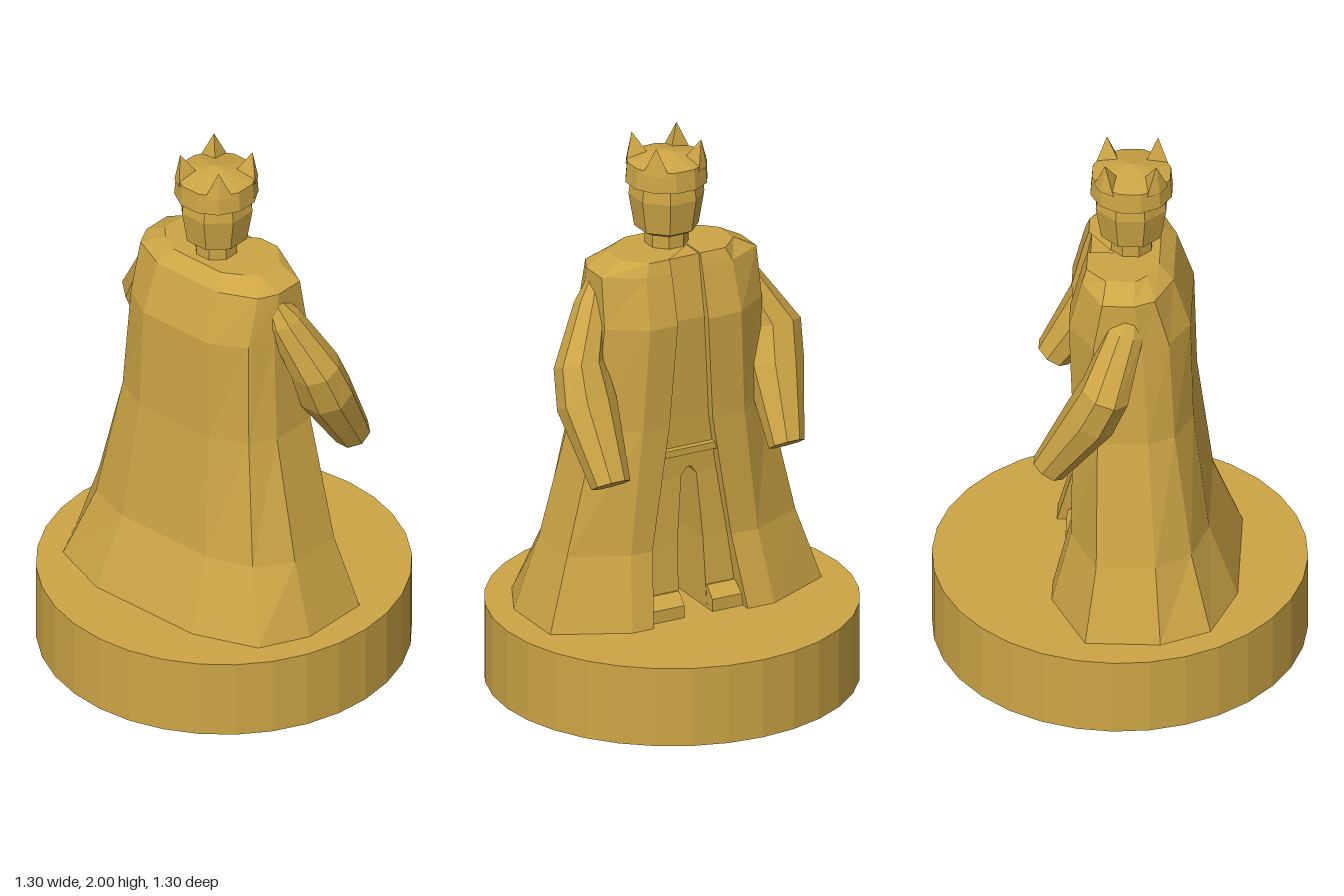
import * as THREE from 'three';

const gold = new THREE.MeshStandardMaterial({ color: 0xcda545 });
gold.name = 'gold';
gold.side = THREE.DoubleSide;

// Give every face its own normal for a faceted look
function facet(geometry) {
  const g = geometry.index ? geometry.toNonIndexed() : geometry;
  g.computeVertexNormals();
  return g;
}

// Skin a list of equal-length rings, bottom to top, running +x, -z, -x, +z
function loft(rings, { closed = true, bottom = true, top = true } = {}) {
  const n = rings[0].length, pos = [], tri = (...p) => p.forEach(v => pos.push(...v));
  for (let i = 0; i < rings.length - 1; i++) {
    for (let j = 0; j < (closed ? n : n - 1); j++) {
      const k = (j + 1) % n, a = rings[i], b = rings[i + 1];
      tri(a[j], a[k], b[k]);
      tri(a[j], b[k], b[j]);
    }
  }
  const lo = rings[0], hi = rings[rings.length - 1];
  for (let j = 1; j < n - 1; j++) {
    if (bottom) tri(lo[0], lo[j + 1], lo[j]);
    if (top) tri(hi[0], hi[j], hi[j + 1]);
  }
  const g = new THREE.BufferGeometry();
  g.setAttribute('position', new THREE.Float32BufferAttribute(pos, 3));
  return facet(g);
}

const rect = (y, x0, x1, z0, z1) => [[x1, y, z1], [x1, y, z0], [x0, y, z0], [x0, y, z1]];

function lathe(profile, sides) {
  const pts = profile.map(([r, y]) => new THREE.Vector2(r, y));
  return facet(new THREE.LatheGeometry(pts, sides, Math.PI / sides));
}

// Robe half sections from lapel edge round to the back: y, then [x, z]
const robeSections = [
  [0.29, [0.225, 0.185], [0.225, 0.28], [0.10, 0.535], [-0.16, 0.535], [-0.33, 0.45], [-0.415, 0.22]],
  [0.55, [0.16, 0.155], [0.16, 0.25], [0.065, 0.45], [-0.14, 0.45], [-0.26, 0.36], [-0.315, 0.19]],
  [1.00, [0.155, 0.085], [0.155, 0.2], [0.065, 0.34], [-0.11, 0.34], [-0.2, 0.29], [-0.26, 0.16]],
  [1.38, [0.17, 0.06], [0.17, 0.18], [0.08, 0.31], [-0.09, 0.31], [-0.18, 0.27], [-0.25, 0.15]],
  [1.56, [0.125, 0.06], [0.125, 0.17], [0.05, 0.305], [-0.06, 0.305], [-0.13, 0.27], [-0.19, 0.14]],
  [1.605, [0.11, 0.06], [0.11, 0.15], [0.04, 0.22], [-0.06, 0.22], [-0.1, 0.18], [-0.14, 0.11]],
];

function robeGeometry() {
  const rings = robeSections.map(([y, ...half]) => {
    const [ex, ez] = half[0];
    const pts = [[ex - 0.09, ez], ...half]; // lapel edge folds inward
    const side = s => pts.map(([x, z], i) => [x, y, s * z + (i < 2 ? 0.01 : 0)]);
    return [...side(-1), ...side(1).reverse()];
  });
  return loft(rings, { closed: false, bottom: false });
}

// Tapered eight-sided arm; stations run hand to shoulder as [x, y, z, rx, rz]
function armGeometry(stations, s) {
  const rings = stations.map(([x, y, z, rx, rz], i) => {
    const a = stations[Math.max(i - 1, 0)], b = stations[Math.min(i + 1, stations.length - 1)];
    const t = new THREE.Vector2(b[0] - a[0], b[1] - a[1]).normalize();
    return Array.from({ length: 8 }, (_, k) => {
      const q = (k + 0.5) * Math.PI / 4, u = rx * Math.cos(q) * 1.06;
      return [x + t.y * u, y - t.x * u, s * z - rz * 1.06 * Math.sin(q)];
    });
  });
  return loft(rings);
}

export function createModel() {
  const model = new THREE.Group();
  const add = (name, geometry, x = 0, y = 0, z = 0) => {
    const m = new THREE.Mesh(geometry, gold);
    m.name = name;
    m.position.set(x, y, z);
    model.add(m);
    return m;
  };

  // Round plinth
  add('base', facet(new THREE.CylinderGeometry(0.65, 0.65, 0.29, 32)), 0, 0.145, 0);

  // Open robe, with the tunic and belt behind its lapels
  add('robe', robeGeometry());
  add('tunic', loft([
    rect(0.82, -0.1, 0.12, -0.13, 0.13),
    rect(1.0, -0.1, 0.125, -0.11, 0.11),
    rect(1.38, -0.1, 0.14, -0.09, 0.09),
    rect(1.6, -0.1, 0.1, -0.09, 0.09),
  ]));
  add('belt', facet(new THREE.BoxGeometry(0.2, 0.025, 0.21)), 0.045, 0.89, 0.01);

  // Legs and feet
  for (const s of [1, -1]) {
    const section = (y, x0, x1, a, b) => rect(y, x0, x1, Math.min(s * a, s * b), Math.max(s * a, s * b));
    add(s > 0 ? 'leftLeg' : 'rightLeg', loft([
      section(0.29, -0.06, 0.15, 0.055, 0.2),
      section(0.55, -0.07, 0.13, 0.05, 0.18),
      section(0.79, -0.08, 0.12, 0.03, 0.14),
      section(0.83, -0.08, 0.12, 0, 0.13),
    ]));
    add(s > 0 ? 'leftFoot' : 'rightFoot', loft([
      section(0.29, 0, 0.19, 0.055, 0.19),
      section(0.335, 0, 0.19, 0.055, 0.18),
      section(0.375, 0, 0.15, 0.055, 0.175),
    ]));
  }

  // Arms reach forward and down
  add('leftArm', armGeometry([
    [0.243, 0.87, 0.375, 0.062, 0.066],
    [0.09, 1.12, 0.385, 0.09, 0.102],
    [0.035, 1.25, 0.385, 0.085, 0.085],
    [-0.035, 1.45, 0.3, 0.062, 0.055],
    [-0.055, 1.52, 0.27, 0.03, 0.03],
  ], 1));
  add('rightArm', armGeometry([
    [0.235, 0.88, 0.322, 0.06, 0.06],
    [0.09, 1.12, 0.355, 0.09, 0.1],
    [0.035, 1.25, 0.375, 0.085, 0.098],
    [-0.035, 1.45, 0.28, 0.062, 0.06],
    [-0.055, 1.52, 0.25, 0.03, 0.03],
  ], -1));

  // Neck and head
  const hx = -0.04;
  add('neck', lathe([[0.076, 1.58], [0.076, 1.68]], 8), hx);
  add('head', lathe([[0, 1.655], [0.085, 1.655], [0.112, 1.67], [0.132, 1.79], [0.122, 1.86], [0, 1.86]], 8), hx);

  // Crown with four points
  add('crown', lathe([[0.1, 1.84], [0.146, 1.84], [0.14, 1.915], [0.1, 1.925], [0, 1.95]], 12), hx);
  for (let i = 0; i < 4; i++) {
    const tip = [0.125, 2.0, 0];
    const spike = loft([
      [[0.145, 1.9, 0], [0.132, 1.9, -0.05], [0.065, 1.925, 0], [0.132, 1.9, 0.05]],
      [tip, tip, tip, tip],
    ], { top: false });
    add('crownPoint' + (i + 1), spike, hx).rotation.y = Math.PI / 4 + i * Math.PI / 2;
  }
  return model;
}
